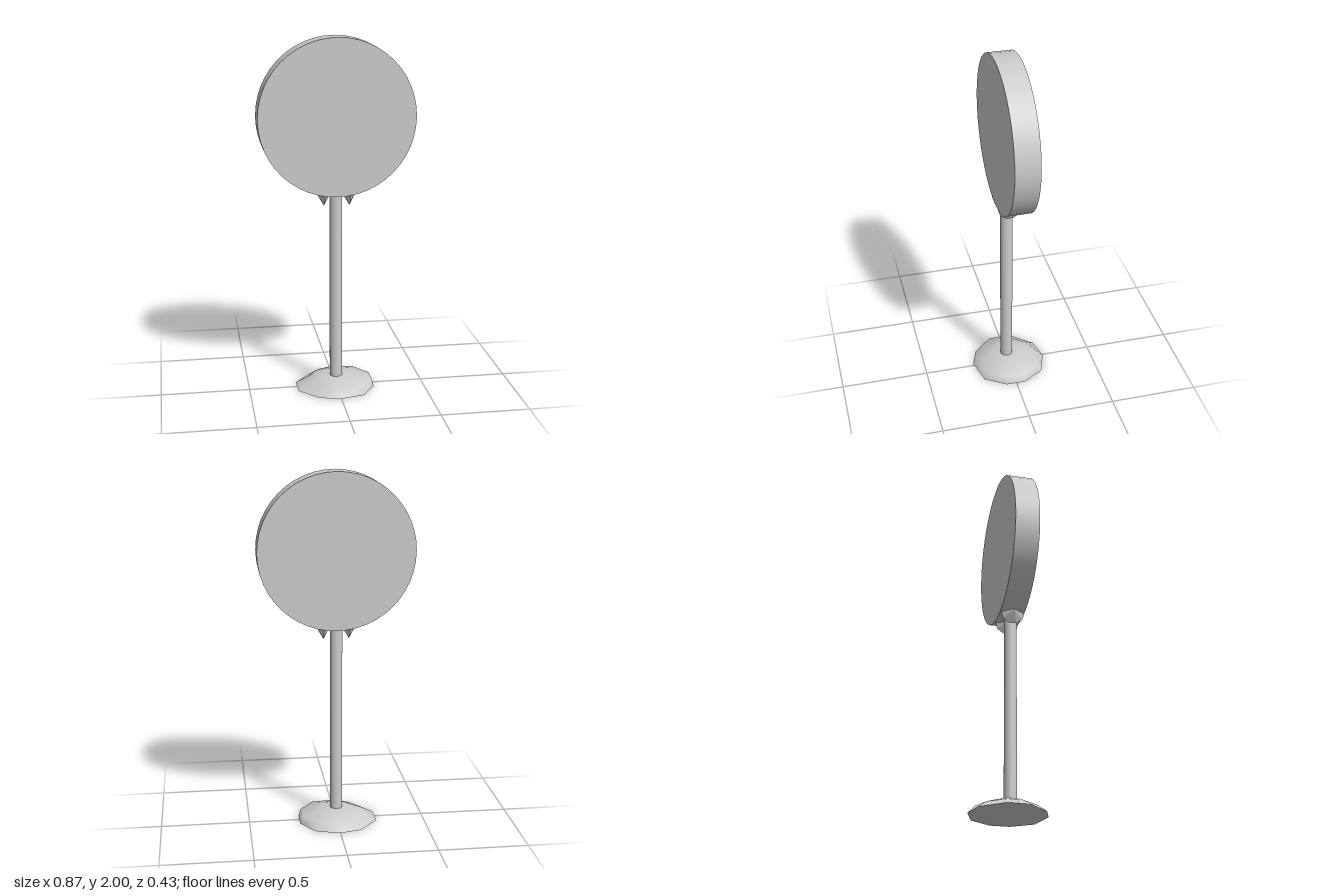
import * as THREE from 'three';

export function createModel() {
  const model = new THREE.Group();
  const grey = new THREE.MeshStandardMaterial({ color: 0xcccccc });
  grey.name = 'plain grey';

  const add = (name, geometry, x, y, z) => {
    const mesh = new THREE.Mesh(geometry, grey);
    mesh.name = name;
    mesh.position.set(x, y, z);
    model.add(mesh);
    return mesh;
  };

  // Round sign disc, facing front and back
  const disc = new THREE.CylinderGeometry(0.434, 0.434, 0.137, 48).rotateX(Math.PI / 2);
  add('signDisc', disc, 0, 1.566, 0.0035);

  // Post
  add('post', new THREE.CylinderGeometry(0.035, 0.035, 1.11, 24), -0.002, 0.595, 0.01);

  // Pointed clamps under the disc: bicones lying along x
  for (const side of [-1, 1]) {
    const profile = [[0, -0.038], [0.067, 0], [0, 0.038]].map(p => new THREE.Vector2(...p));
    const clamp = new THREE.LatheGeometry(profile, 10).toNonIndexed().rotateZ(Math.PI / 2);
    clamp.computeVertexNormals();
    add(side > 0 ? 'leftClamp' : 'rightClamp', clamp, side * 0.071, 1.14, 0.007);
  }

  // Uneven ten-sided foot: outline on the ground as x, z
  const outline = [
    [0.213, -0.052], [0.14, -0.17], [0.007, -0.216], [-0.118, -0.187], [-0.226, -0.063],
    [-0.225, 0.064], [-0.125, 0.173], [-0.015, 0.212], [0.135, 0.177], [0.212, 0.058],
  ];
  const n = outline.length;
  // Rings as scale, height; the dome is fuller towards +x
  const rings = [[1, 0], [0.82, 0.04], [0.45, 0.064]];
  const points = [];
  const faces = [];
  rings.forEach(([s, y], r) => outline.forEach(([x, z]) => {
    const k = r === 1 ? s + 0.6 * x : s;
    points.push(x * k, y, z * k);
  }));
  points.push(0, 0.07, 0);
  const top = rings.length * n;
  for (let i = 0; i < n; i++) {
    const j = (i + 1) % n;
    for (let r = 0; r < rings.length - 1; r++) {
      const a = r * n + i, b = r * n + j;
      faces.push(a, b, b + n, a, b + n, a + n);
    }
    faces.push(top - n + i, top - n + j, top);
  }
  const dome = new THREE.BufferGeometry();
  dome.setAttribute('position', new THREE.Float32BufferAttribute(points, 3));
  dome.setIndex(faces);
  dome.computeVertexNormals();
  add('footDome', dome, 0, 0, 0);

  // Flat underside of the foot
  const under = new THREE.ShapeGeometry(
    new THREE.Shape(outline.map(([x, z]) => new THREE.Vector2(x, z)))
  ).rotateX(Math.PI / 2);
  add('footUnderside', under, 0, 0, 0);

  return model;
}
